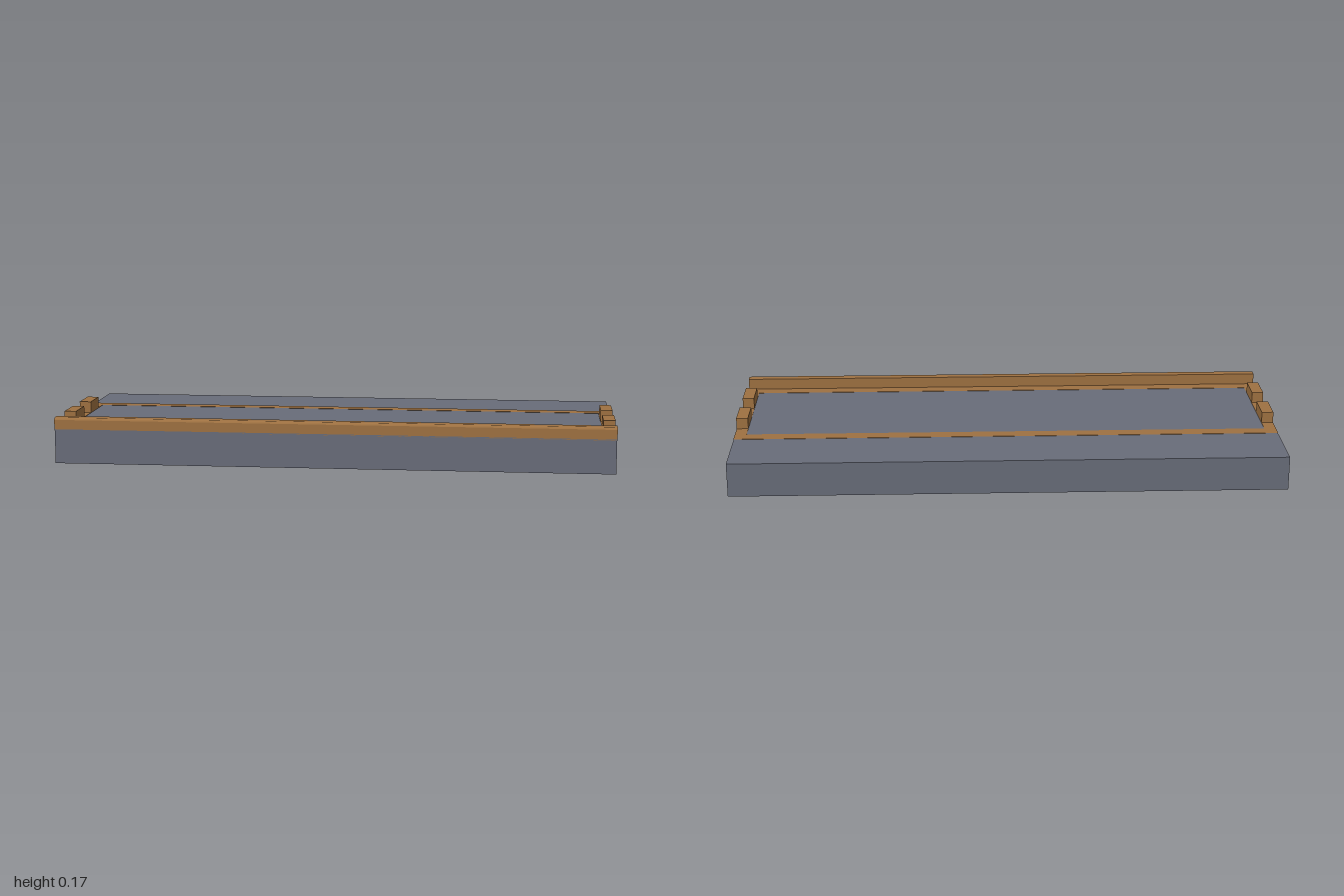
import * as THREE from 'three';

export function createModel() {
  const model = new THREE.Group();
  const slate = new THREE.MeshStandardMaterial({ color: 0x686c79 });
  slate.name = 'slate grey';
  const wood = new THREE.MeshStandardMaterial({ color: 0x9e7141 });
  wood.name = 'wood brown';

  // Box given by its lower and upper limits on each axis
  function block(name, material, [x0, x1], [y0, y1], [z0, z1]) {
    const mesh = new THREE.Mesh(new THREE.BoxGeometry(x1 - x0, y1 - y0, z1 - z0), material);
    mesh.position.set((x0 + x1) / 2, (y0 + y1) / 2, (z0 + z1) / 2);
    mesh.name = name;
    model.add(mesh);
  }

  const top = 0.125, high = 0.166, t = 0.001;
  block('slab', slate, [-0.999, 0.999], [0, top - t], [-0.416, 0.416]);

  // Thin wooden inlays on the top surface
  block('backInlay', wood, [-1, 1], [top - 0.005, top], [-0.175, -0.126]);
  block('frontInlay', wood, [-1, 1], [top - 0.005, top], [0.33, 0.416]);

  // Wooden end panels, top borders and lugs on both ends
  for (const side of [-1, 1]) {
    const span = (a, b) => (side > 0 ? [a, b] : [-b, -a]);
    block('endPanel', wood, span(0.995, 1), [0, top], [-0.127, 0.335]);
    block('endInlay', wood, span(0.957, 1), [top - 0.005, top], [-0.127, 0.335]);
    for (const z of [-0.006, 0.214]) {
      block('lug', wood, span(0.957, 1), [top - 0.003, high], [z - 0.06, z + 0.06]);
    }
  }

  // Raised front rail with a bevelled outer edge, profile drawn as (-z, y)
  const rail = new THREE.Shape([
    [-0.417, top - t], [-0.377, top - t], [-0.377, high],
    [-0.409, high], [-0.414, high - 0.003], [-0.417, high - 0.008],
  ].map(([x, y]) => new THREE.Vector2(x, y)));
  const railGeometry = new THREE.ExtrudeGeometry(rail, { depth: 2, bevelEnabled: false });
  railGeometry.translate(0, 0, -1).rotateY(Math.PI / 2);
  const railMesh = new THREE.Mesh(railGeometry, wood);
  railMesh.name = 'frontRail';
  model.add(railMesh);

  return model;
}
